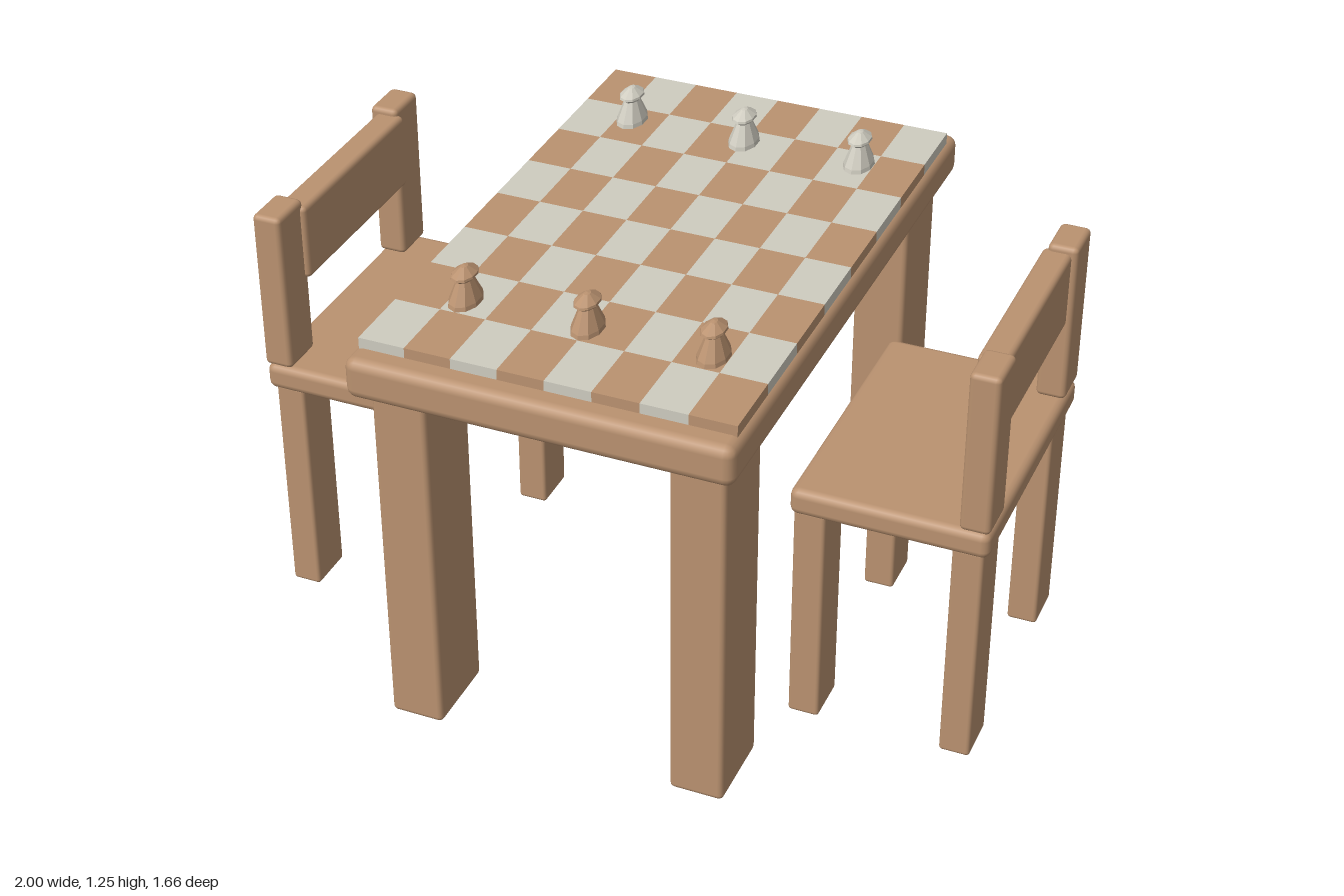
import * as THREE from 'three';
import { RoundedBoxGeometry } from 'three/addons/geometries/RoundedBoxGeometry.js';

const wood = new THREE.MeshStandardMaterial({ color: 0xba9270 });
wood.name = 'wood';
const ivory = new THREE.MeshStandardMaterial({ color: 0xcfccc0 });
ivory.name = 'ivory';

// Wooden block with softened edges, given by its min and max on each axis
function block(name, [x0, x1], [y0, y1], [z0, z1], radius) {
  const geometry = new RoundedBoxGeometry(x1 - x0, y1 - y0, z1 - z0, 2, radius);
  const mesh = new THREE.Mesh(geometry, wood);
  mesh.name = name;
  mesh.position.set((x0 + x1) / 2, (y0 + y1) / 2, (z0 + z1) / 2);
  return mesh;
}

function createTable() {
  const table = new THREE.Group();
  table.name = 'table';
  table.add(block('tableTop', [-0.505, 0.505], [1.01, 1.122], [-0.83, 0.83], 0.028));
  for (const [x0, x1] of [[0.32, 0.465], [-0.465, -0.32]]) {
    for (const [z0, z1] of [[0.54, 0.77], [-0.77, -0.54]]) {
      table.add(block('tableLeg', [x0, x1], [0.005, 1.012], [z0, z1], 0.014));
    }
  }
  return table;
}

// Eight by eight board of alternating tiles
function createBoard() {
  const board = new THREE.Group();
  board.name = 'board';
  const w = 0.98 / 8, d = 1.535 / 8;
  const tile = new THREE.BoxGeometry(w, 0.032, d);
  for (let row = 0; row < 8; row++) {
    for (let col = 0; col < 8; col++) {
      const mesh = new THREE.Mesh(tile, (row + col) % 2 ? ivory : wood);
      mesh.name = 'tile';
      mesh.position.set(-0.49 + (col + 0.5) * w, 1.134, -0.769 + (row + 0.5) * d);
      board.add(mesh);
    }
  }
  return board;
}

// Turned game pieces, narrower across the board, three per side
function createPieces() {
  const pieces = new THREE.Group();
  pieces.name = 'pieces';
  const profile = [[0, 0], [0.063, 0], [0.06, 0.012], [0.03, 0.064], [0.049, 0.076], [0.047, 0.082], [0.013, 0.1], [0, 0.102]]
    .map(([r, y]) => new THREE.Vector2(r, y));
  const geometry = new THREE.LatheGeometry(profile, 10).toNonIndexed();
  geometry.scale(0.64, 1, 1);
  geometry.computeVertexNormals();
  for (const x of [-0.328, 0, 0.328]) {
    for (const [z, material] of [[-0.513, ivory], [0.511, wood]]) {
      const mesh = new THREE.Mesh(geometry, material);
      mesh.name = 'piece';
      mesh.position.set(x, 1.149, z);
      pieces.add(mesh);
    }
  }
  return pieces;
}

// Chair on the +x side, facing the table
function createChair() {
  const chair = new THREE.Group();
  chair.name = 'chair';
  chair.add(block('seat', [0.48, 1], [0.645, 0.72], [-0.385, 0.385], 0.022));
  chair.add(block('backrest', [0.906, 0.984], [0.945, 1.157], [-0.28, 0.28], 0.014));
  for (const [z0, z1] of [[0.23, 0.367], [-0.367, -0.23]]) {
    chair.add(block('chairLeg', [0.488, 0.572], [0.005, 0.65], [z0, z1], 0.01));
    chair.add(block('chairLeg', [0.902, 0.984], [0.005, 0.65], [z0, z1], 0.01));
  }
  for (const [z0, z1] of [[0.26, 0.387], [-0.387, -0.26]]) {
    chair.add(block('backPost', [0.92, 1], [0.722, 1.175], [z0, z1], 0.014));
  }
  return chair;
}

export function createModel() {
  const model = new THREE.Group();
  model.name = 'gameTableWithChairs';
  const leftChair = createChair();
  leftChair.name = 'leftChair';
  const rightChair = createChair();
  rightChair.name = 'rightChair';
  rightChair.rotation.y = Math.PI;
  model.add(createTable(), createBoard(), createPieces(), leftChair, rightChair);
  return model;
}
